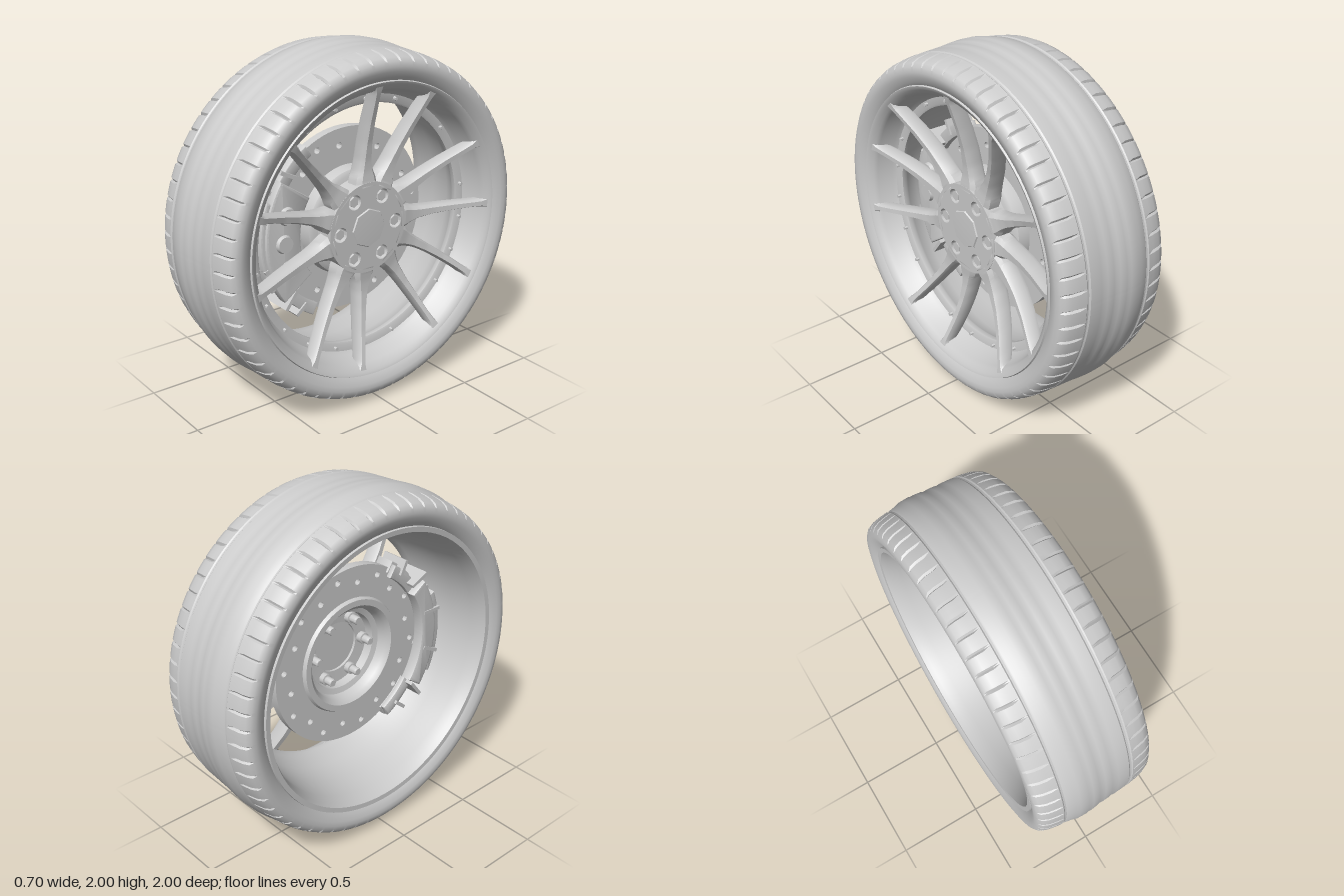
import * as THREE from 'three';
import { toCreasedNormals } from 'three/addons/utils/BufferGeometryUtils.js';

const material = new THREE.MeshStandardMaterial({ color: 0xcccccc, side: THREE.DoubleSide });
const rad = THREE.MathUtils.degToRad;

// The wheel is built facing +z about the origin, then turned to face +x.
function add(parent, name, geometry, crease = 0.6) {
  const mesh = new THREE.Mesh(toCreasedNormals(geometry, crease), material);
  mesh.name = name;
  parent.add(mesh);
  return mesh;
}

// Ring turned about z from [radius, z] points
function turned(points, segments) {
  return new THREE.LatheGeometry(points.map(p => new THREE.Vector2(p[0], p[1])), segments).rotateX(Math.PI / 2);
}

function holeAt(x, y, r) {
  return new THREE.Path().absarc(x, y, r, 0, Math.PI * 2, true);
}

function slab(shape, z0, z1, bevel = 0) {
  return new THREE.ExtrudeGeometry(shape, {
    depth: z1 - z0 - 2 * bevel, curveSegments: 40,
    bevelEnabled: bevel > 0, bevelSize: bevel, bevelThickness: bevel, bevelOffset: -bevel, bevelSegments: 2,
  }).translate(0, 0, z0 + bevel);
}

// Part of a flat ring between two angles in degrees
function sector(r0, r1, a0, a1) {
  const s = new THREE.Shape();
  s.absarc(0, 0, r1, rad(a0), rad(a1), false);
  s.absarc(0, 0, r0, rad(a1), rad(a0), true);
  s.closePath();
  return s;
}

// Straight-line interpolation in a table of [key, value, value...]
function sample(table, t, column) {
  let i = 0;
  while (i < table.length - 2 && t > table[i + 1][0]) i++;
  const a = table[i], b = table[i + 1];
  return THREE.MathUtils.lerp(a[column], b[column], (t - a[0]) / (b[0] - a[0]));
}

// Tyre with circumferential grooves and short narrow cuts on both shoulders
function tyreGeometry() {
  const profile = [
    [0.80, -0.29], [0.825, -0.315], [0.85, -0.332], [0.88, -0.345], [0.905, -0.35], [0.932, -0.344], [0.952, -0.328],
    [0.967, -0.295], [0.976, -0.25], [0.981, -0.212], [0.976, -0.205], [0.976, -0.195], [0.982, -0.187],
    [0.989, -0.15], [0.998, -0.12], [1.0, -0.07], [0.996, -0.055], [0.998, -0.04], [0.994, 0.0], [0.987, 0.02],
    [0.99, 0.04], [0.988, 0.08], [0.983, 0.1], [0.986, 0.12], [0.982, 0.187], [0.976, 0.195], [0.976, 0.205],
    [0.981, 0.212], [0.976, 0.25], [0.967, 0.295], [0.952, 0.328], [0.932, 0.344], [0.905, 0.35], [0.88, 0.345],
    [0.85, 0.332], [0.825, 0.315], [0.80, 0.29], [0.80, -0.29],
  ];
  const cuts = 64, step = 10;
  const g = turned(profile, cuts * step);
  const p = g.attributes.position;
  for (let i = 0; i < p.count; i++) {
    const z = p.getZ(i), row = i % profile.length, column = Math.floor(i / profile.length);
    const phase = z > 0 ? 0 : step / 2;
    if (Math.abs(z) > 0.22 && profile[row][0] > 0.94 && column % step === phase) {
      p.setX(i, p.getX(i) * 0.988);
      p.setY(i, p.getY(i) * 0.988);
    }
  }
  return g;
}

// Concave blade spoke lofted outwards: [radius, width, back z, front z]
const spokeTable = [
  [0.235, 0.152, 0.10, 0.2135], [0.285, 0.13, 0.10, 0.209], [0.32, 0.098, 0.102, 0.206], [0.38, 0.07, 0.108, 0.208],
  [0.48, 0.054, 0.125, 0.222], [0.60, 0.046, 0.158, 0.251], [0.72, 0.042, 0.202, 0.289],
  [0.775, 0.046, 0.23, 0.307], [0.81, 0.08, 0.25, 0.316],
];
function spokeGeometry(baseAngle, tipAngle) {
  const section = [[-0.35, 0], [-0.5, 0.2], [-0.48, 0.8], [-0.3, 1], [0.3, 1], [0.48, 0.8], [0.5, 0.2], [0.35, 0]];
  const n = section.length, rows = 30, positions = [], index = [];
  for (let j = 0; j <= rows; j++) {
    const t = j / rows, r = 0.235 + 0.575 * t;
    const a = rad(baseAngle + (tipAngle - baseAngle) * t);
    const w = sample(spokeTable, r, 1), z0 = sample(spokeTable, r, 2), z1 = sample(spokeTable, r, 3);
    for (const [u, v] of section) {
      positions.push(Math.cos(a) * r - Math.sin(a) * u * w, Math.sin(a) * r + Math.cos(a) * u * w, z0 + (z1 - z0) * v);
    }
  }
  for (let j = 0; j < rows; j++) for (let k = 0; k < n; k++) {
    const a = j * n + k, b = j * n + (k + 1) % n;
    index.push(a, b, a + n, b, b + n, a + n);
  }
  const g = new THREE.BufferGeometry();
  g.setAttribute('position', new THREE.Float32BufferAttribute(positions, 3));
  g.setIndex(index);
  return g;
}

export function createModel() {
  const model = new THREE.Group();
  model.name = 'wheel';
  const wheel = new THREE.Group();
  wheel.name = 'wheelAssembly';
  wheel.rotation.y = Math.PI / 2;
  wheel.position.y = 1;
  model.add(wheel);

  add(wheel, 'tyre', tyreGeometry(), 0.5);

  // Rim: barrel, bolted flange and stepped outer lip
  add(wheel, 'rim', turned([
    [0.795, -0.30], [0.83, -0.318], [0.828, -0.332], [0.80, -0.33], [0.785, -0.30], [0.772, -0.24], [0.755, -0.1],
    [0.735, 0.04], [0.70, 0.12], [0.685, 0.14], [0.685, 0.165], [0.695, 0.17], [0.735, 0.175], [0.752, 0.195],
    [0.775, 0.28], [0.787, 0.302], [0.805, 0.315], [0.815, 0.325], [0.828, 0.33], [0.834, 0.318], [0.82, 0.29],
    [0.80, 0.27], [0.785, 0.2], [0.775, 0.1], [0.78, -0.1], [0.795, -0.30],
  ], 128), 0.7);

  for (let i = 0; i < 22; i++) {
    const a = (i + 0.5) / 22 * Math.PI * 2;
    const bolt = add(wheel, 'flangeBolt', new THREE.CylinderGeometry(0.01, 0.011, 0.025, 6).rotateX(Math.PI / 2));
    bolt.position.set(Math.cos(a) * 0.715, Math.sin(a) * 0.715, 0.18);
  }

  // Eleven spokes as [base angle, tip angle]
  const spokes = [[90, 91], [62, 64], [28, 28], [0, 0], [-24, -31.5], [-54, -58], [-92, -98], [-121, -123.5],
    [-164, -168], [161, 162.5], [132, 134]];
  for (const [base, tip] of spokes) add(wheel, 'spoke', spokeGeometry(base, tip), 0.7);

  // Hub with six lug pockets and a nearly flush faceted centre cap
  const hub = new THREE.Shape().absarc(0, 0, 0.26, 0, Math.PI * 2, false);
  const lugs = [0, 1, 2, 3, 4, 5].map(i => [Math.cos(i * Math.PI / 3) * 0.19, Math.sin(i * Math.PI / 3) * 0.19]);
  for (const [x, y] of lugs) hub.holes.push(holeAt(x, y, 0.042));
  add(wheel, 'hub', slab(hub, 0.10, 0.213));
  add(wheel, 'centreCap', turned([[0.115, 0.21], [0.108, 0.22], [0, 0.224]], 8), 0.3);
  for (const [x, y] of lugs) {
    const nut = add(wheel, 'lugNut', new THREE.CylinderGeometry(0.03, 0.034, 0.115, 6).rotateX(Math.PI / 2));
    nut.position.set(x, y, 0.15);
    const stud = add(wheel, 'wheelStud', turned(
      [[0, 0.0], [0.02, 0.0], [0.024, 0.01], [0.024, 0.05], [0.034, 0.052], [0.034, 0.105]], 12));
    stud.position.set(x, y, 0);
  }

  // Drilled brake disc and its stepped hat, open at the back
  const disc = new THREE.Shape().absarc(0, 0, 0.53, 0, Math.PI * 2, false);
  disc.holes.push(holeAt(0, 0, 0.31));
  for (let i = 0; i < 20; i++) {
    const a = (i + 0.4) / 20 * Math.PI * 2, r = i % 2 ? 0.435 : 0.475;
    disc.holes.push(holeAt(Math.cos(a) * r, Math.sin(a) * r, 0.018));
  }
  add(wheel, 'brakeDisc', slab(disc, -0.035, 0.02));
  add(wheel, 'discHat', turned([
    [0.345, -0.035], [0.335, -0.055], [0.318, -0.055], [0.318, 0.03], [0.308, 0.085], [0.285, 0.10], [0.15, 0.10],
    [0.15, 0.085], [0.225, 0.08], [0.232, 0.03], [0.265, 0.02], [0.275, -0.03], [0.30, -0.055], [0.335, -0.055],
  ], 64));

  // Caliper: two halves, bridge, end brackets and ribs
  const caliper = new THREE.Group();
  caliper.name = 'brakeCaliper';
  wheel.add(caliper);
  add(caliper, 'outerHalf', slab(sector(0.38, 0.60, 146, 216), 0.045, 0.115, 0.014));
  add(caliper, 'innerHalf', slab(sector(0.48, 0.59, 146, 216), -0.13, -0.055, 0.014));
  add(caliper, 'bridge', slab(sector(0.55, 0.625, 158, 207), -0.12, 0.10, 0.012));
  for (const [a0, a1] of [[122, 146], [216, 242]]) {
    add(caliper, 'endBracket', slab(sector(0.48, 0.555, a0, a1), -0.085, -0.05, 0.008));
    add(caliper, 'endClip', slab(sector(0.50, 0.57, a0, a1), -0.05, 0.06, 0.006));
  }
  for (let i = 0; i < 9; i++) {
    const angle = 128 + i * 13, long = i % 2;
    const rib = add(caliper, 'caliperRib', new THREE.BoxGeometry(long ? 0.12 : 0.09, 0.02, long ? 0.24 : 0.17));
    rib.position.set(Math.cos(rad(angle)) * 0.565, Math.sin(rad(angle)) * 0.565, -0.015);
    rib.rotation.z = rad(angle + (long ? 14 : -12));
  }
  for (const angle of [163, 181, 199]) {
    const piston = add(caliper, 'pistonBoss', new THREE.CylinderGeometry(0.045, 0.055, 0.03, 20).rotateX(Math.PI / 2));
    piston.position.set(Math.cos(rad(angle)) * 0.49, Math.sin(rad(angle)) * 0.49, 0.12);
  }
  return model;
}
